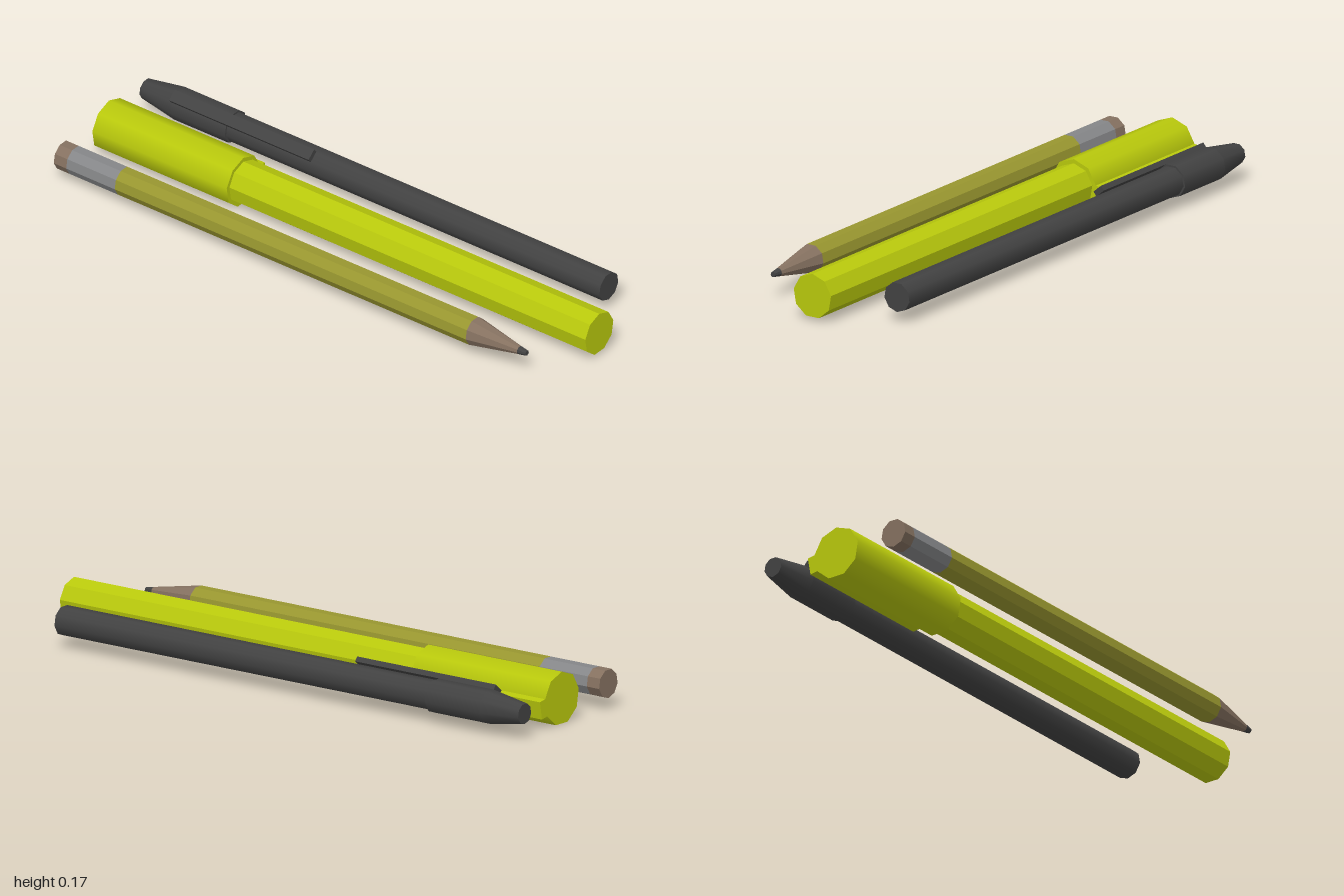
import * as THREE from 'three';

const SIDES = 9;
const STEP = Math.PI / SIDES;

function mat(name, color) {
  const m = new THREE.MeshStandardMaterial({ color });
  m.name = name;
  return m;
}

// Nine-sided barrel along z from zBack to zFront
function barrel(parent, name, material, zBack, zFront, rBack, rFront, { flat = false, vertexUp = false } = {}) {
  let g = new THREE.CylinderGeometry(rFront, rBack, zFront - zBack, SIDES, 1, false, vertexUp ? Math.PI : 0);
  g.rotateX(Math.PI / 2);
  if (flat) {
    g = g.toNonIndexed();
    g.computeVertexNormals();
  }
  const mesh = new THREE.Mesh(g, material);
  mesh.name = name;
  mesh.position.z = (zBack + zFront) / 2;
  parent.add(mesh);
}

// Bar standing on one facet of a barrel of radius r, facing the given angle
function clip(parent, name, material, zBack, zFront, r, thickness, degrees) {
  const a = THREE.MathUtils.degToRad(degrees);
  const d = r * Math.cos(STEP) + thickness / 2;
  const mesh = new THREE.Mesh(
    new THREE.BoxGeometry(thickness, 2 * r * Math.sin(STEP), zFront - zBack), material);
  mesh.name = name;
  mesh.position.set(d * Math.cos(a), d * Math.sin(a), (zBack + zFront) / 2);
  mesh.rotation.z = a;
  parent.add(mesh);
}

function tool(parent, name, x, y) {
  const g = new THREE.Group();
  g.name = name;
  g.position.set(x, y, 0);
  parent.add(g);
  return g;
}

export function createModel() {
  const model = new THREE.Group();
  model.name = 'writingTools';

  const lime = mat('lime', 0xb8c80c);
  const olive = mat('olive', 0x98962f);
  const wood = mat('wood', 0x857160);
  const metal = mat('metal', 0x858688);
  const dark = mat('darkGrey', 0x424242);

  // Pencil
  const pencil = tool(model, 'pencil', -0.235, 0.083);
  const flat = { flat: true };
  barrel(pencil, 'eraser', wood, -0.975, -0.925, 0.048, 0.048, flat);
  barrel(pencil, 'ferrule', metal, -0.925, -0.73, 0.048, 0.048, flat);
  barrel(pencil, 'pencilBody', olive, -0.73, 0.68, 0.048, 0.048, flat);
  barrel(pencil, 'sharpenedWood', wood, 0.68, 0.86, 0.048, 0.014, flat);
  barrel(pencil, 'lead', dark, 0.86, 0.89, 0.014, 0.009, flat);

  // Highlighter with a clipped cap
  const marker = tool(model, 'highlighter', -0.003, 0.0823);
  barrel(marker, 'markerBody', lime, -0.5, 1, 0.0737, 0.0737, { flat: true, vertexUp: true });
  barrel(marker, 'markerCap', lime, -0.97, -0.43, 0.0876, 0.0876, { vertexUp: true });
  clip(marker, 'markerClip', lime, -0.97, -0.43, 0.0876, 0.027, -10);

  // Ballpoint pen with a tapered cap
  const pen = tool(model, 'pen', 0.2265, 0.0845);
  barrel(pen, 'penBody', dark, -0.7, 0.86, 0.0495, 0.0495);
  barrel(pen, 'penCap', dark, -0.86, -0.64, 0.056, 0.056);
  barrel(pen, 'penCapTaper', dark, -1, -0.86, 0.034, 0.056);
  clip(pen, 'penClip', dark, -0.86, -0.3, 0.056, 0.018, 130);

  return model;
}
